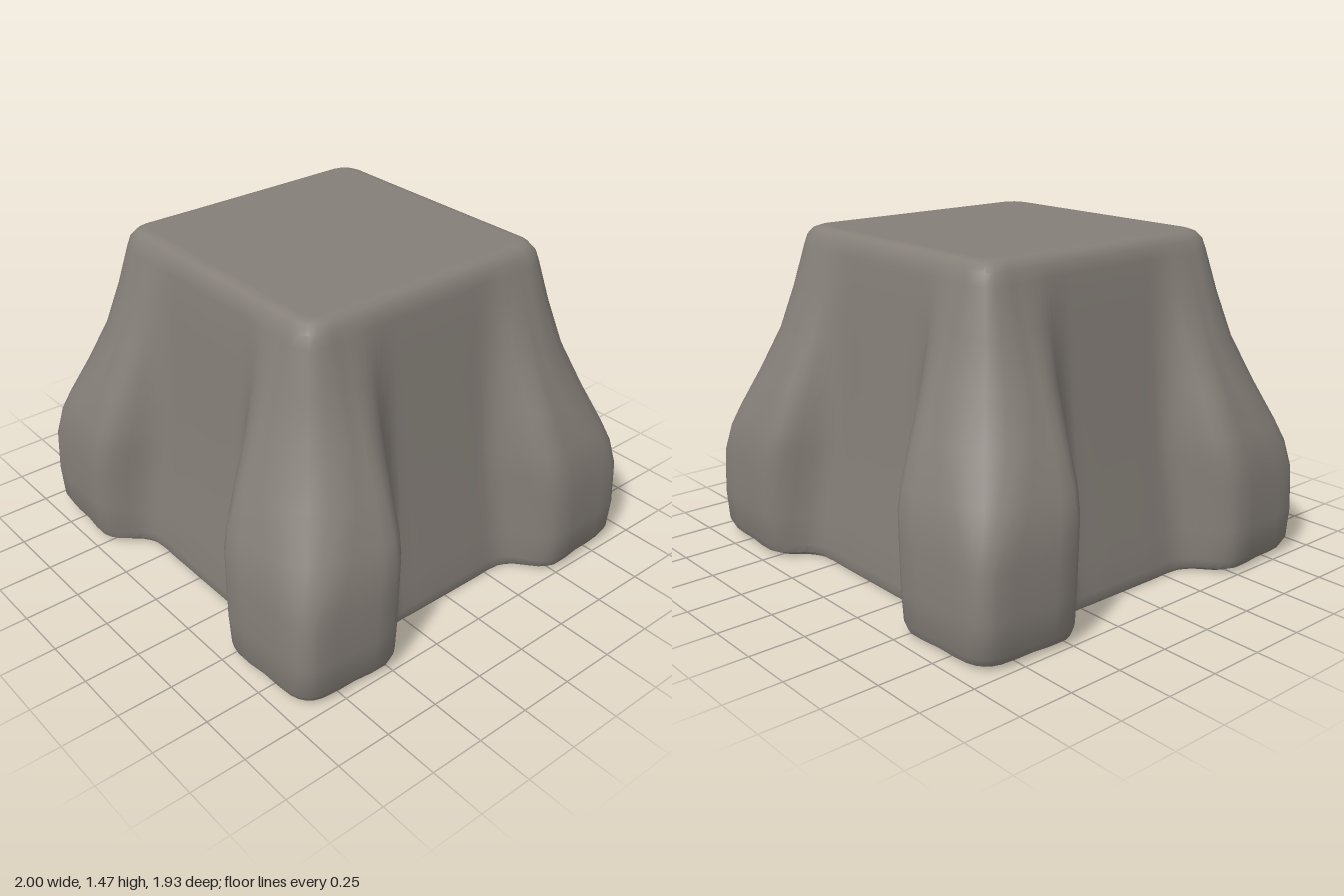
import * as THREE from 'three';
import { toCreasedNormals } from 'three/addons/utils/BufferGeometryUtils.js';

// height, wall half-width, foot half-width, groove position, corner radius, depth ratio
const LEVELS = [
  [0.0, 0.785, 0.91, 0.37, 0.13, 0.965],
  [0.005, 0.797, 0.94, 0.37, 0.12, 0.965],
  [0.02, 0.803, 0.972, 0.365, 0.11, 0.965],
  [0.06, 0.803, 0.99, 0.36, 0.1, 0.965],
  [0.2, 0.787, 1.0, 0.355, 0.1, 0.965],
  [0.4, 0.762, 0.995, 0.34, 0.1, 0.965],
  [0.52, 0.747, 0.985, 0.325, 0.15, 0.966],
  [0.62, 0.735, 0.957, 0.315, 0.19, 0.968],
  [0.8, 0.714, 0.885, 0.31, 0.23, 0.975],
  [1.0, 0.692, 0.793, 0.3, 0.21, 0.985],
  [1.2, 0.67, 0.717, 0.29, 0.15, 0.992],
  [1.38, 0.65, 0.658, 0.28, 0.1, 1],
  [1.43, 0.64, 0.642, 0.28, 0.09, 1],
  [1.46, 0.617, 0.618, 0.28, 0.08, 1],
  [1.47, 0.593, 0.594, 0.28, 0.07, 1],
  [1.47, 0.57, 0.571, 0.28, 0.07, 1],
];

// One closed horizontal section: a wall with a buttress foot at each corner
function section([y, wall, foot, g, r, depth]) {
  const d = foot - wall;
  const face = foot - 0.1 * d;
  const half = [
    [0, wall], [0.2, wall], [g - 0.03, wall + 0.02 * d], [g + 0.04, wall + 0.3 * d],
    [g + 0.1, wall + 0.78 * d], [g + 0.17, foot],
    [(g + 0.17 + foot - r) / 2, foot - 0.06 * d], [foot - r, face],
  ];
  const corner = [face - 0.28 * r, face - 0.28 * r];
  const quarter = [...half, corner, ...half.slice(1).reverse().map(([u, v]) => [v, u])];
  const points = [];
  for (let k = 0; k < 4; k++) {
    for (let [x, z] of quarter) {
      for (let n = 0; n < k; n++) [x, z] = [z, -x];
      points.push(new THREE.Vector3(x, y, z * depth));
    }
  }
  const count = points.length * 2;
  return new THREE.CatmullRomCurve3(points, true).getPoints(count).slice(0, count);
}

// Skin the stacked sections and close both ends
function loft(rings) {
  const n = rings[0].length;
  const last = rings.length - 1;
  const vertices = rings.flat();
  const index = [];
  for (let i = 0; i < last; i++) {
    for (let j = 0; j < n; j++) {
      const a = i * n + j;
      const b = i * n + (j + 1) % n;
      index.push(a, b, b + n, a, b + n, a + n);
    }
  }
  const bottom = vertices.length;
  const top = bottom + 1;
  vertices.push(new THREE.Vector3(0, rings[0][0].y, 0), new THREE.Vector3(0, rings[last][0].y, 0));
  for (let j = 0; j < n; j++) {
    const k = (j + 1) % n;
    index.push(bottom, k, j, top, last * n + j, last * n + k);
  }
  const geometry = new THREE.BufferGeometry().setFromPoints(vertices);
  geometry.setIndex(index);
  return toCreasedNormals(geometry, 0.6);
}

export function createModel() {
  const stone = new THREE.MeshStandardMaterial({ color: 0x857f78 });
  stone.name = 'stone';
  const group = new THREE.Group();
  group.name = 'pedestal';
  const body = new THREE.Mesh(loft(LEVELS.map(section)), stone);
  body.name = 'buttressedBody';
  group.add(body);
  return group;
}
